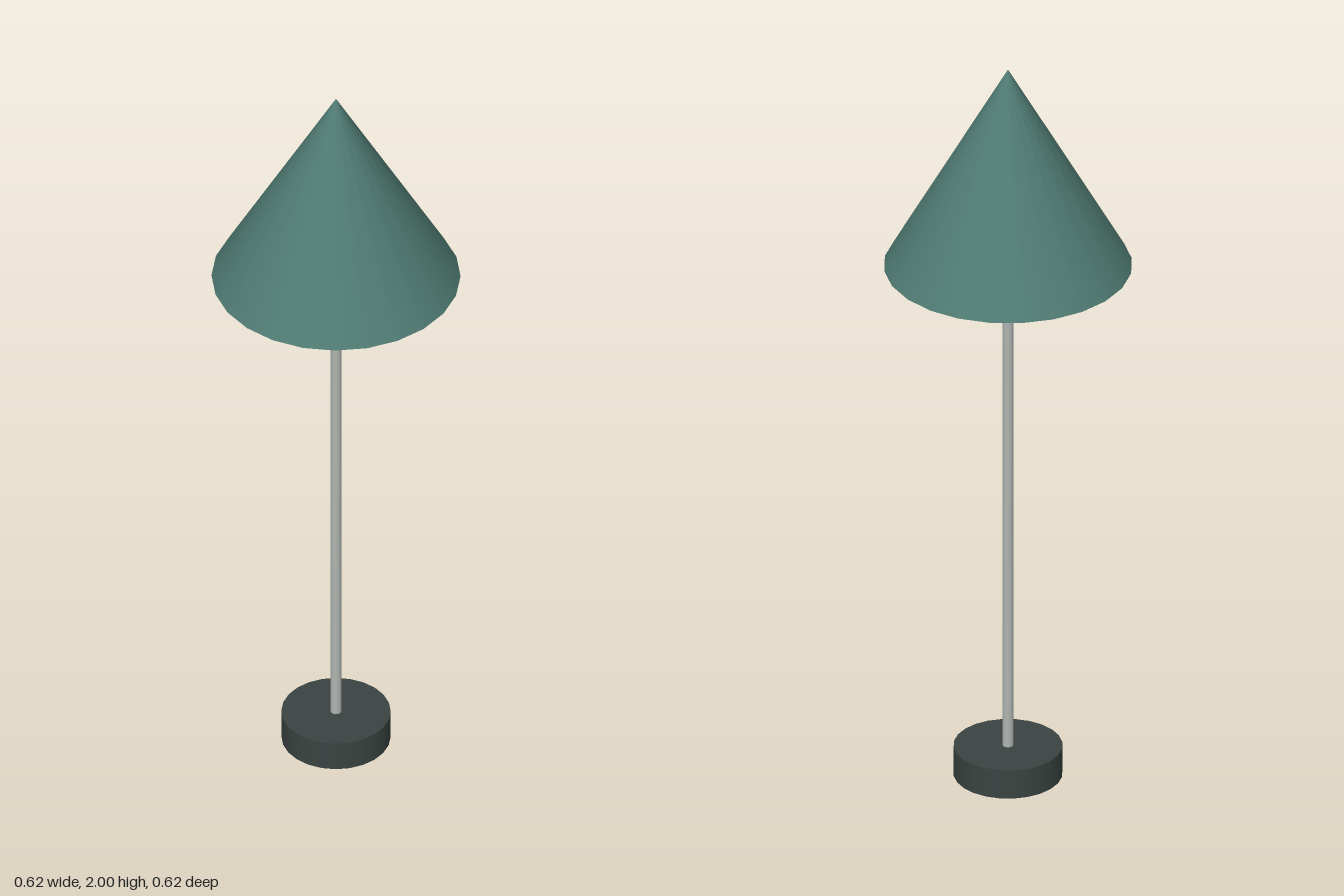
import * as THREE from 'three';

const SIDES = 24;

export function createModel() {
  const model = new THREE.Group();

  // Adds a round part standing between two heights
  const addRound = (name, rTop, rBottom, y0, y1, color) => {
    const geometry = rTop === 0
      ? new THREE.ConeGeometry(rBottom, y1 - y0, SIDES)
      : new THREE.CylinderGeometry(rTop, rBottom, y1 - y0, SIDES);
    const mesh = new THREE.Mesh(geometry, new THREE.MeshStandardMaterial({ color }));
    mesh.name = name;
    mesh.position.y = (y0 + y1) / 2;
    model.add(mesh);
  };

  // Weighted disc, thin pole and closed conical shade
  addRound('base', 0.137, 0.137, 0, 0.08, 0x3a4442);
  addRound('pole', 0.014, 0.014, 0.08, 1.46, 0xb0b5b2);
  addRound('shade', 0, 0.312, 1.445, 2, 0x4f7a72);

  return model;
}
